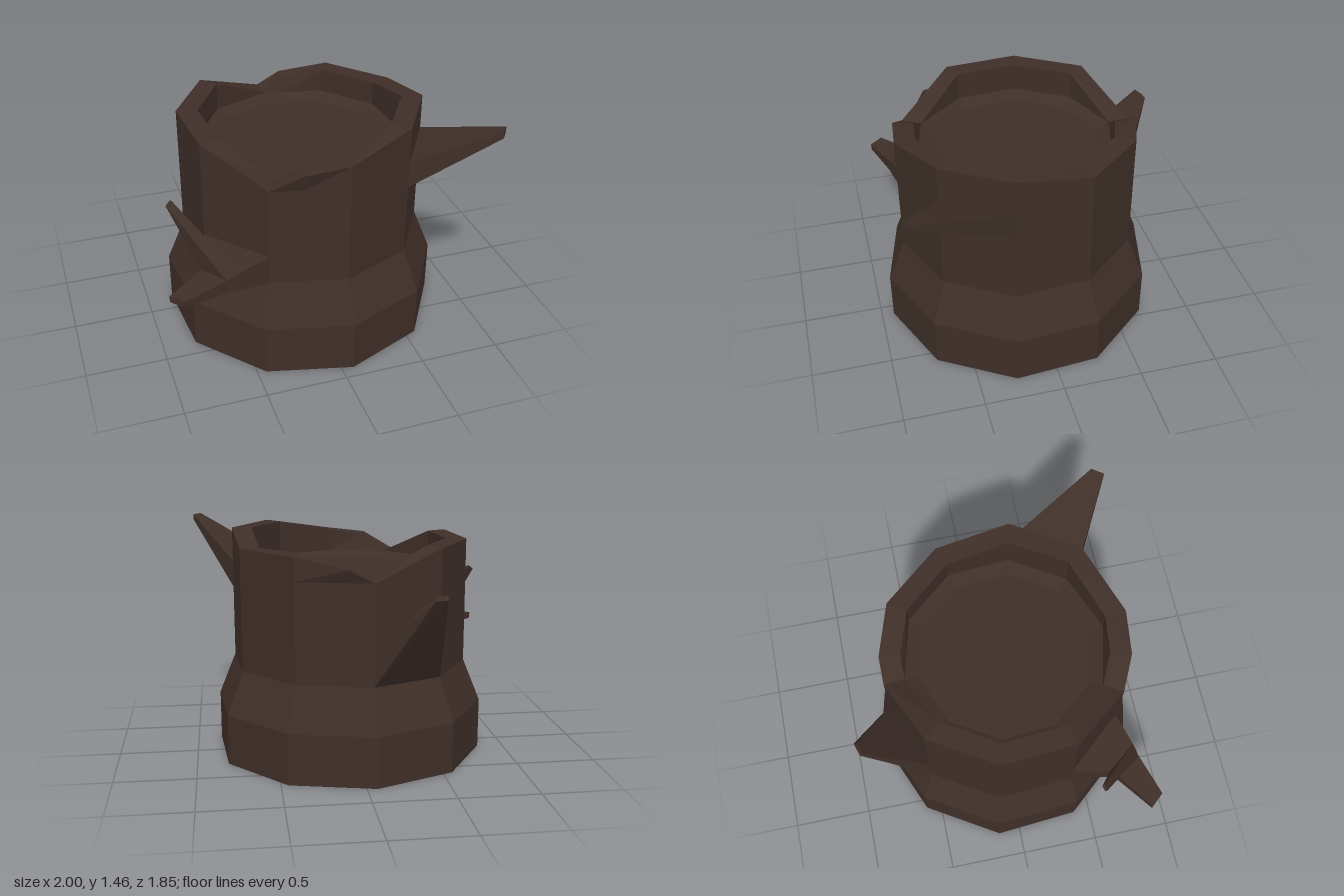
import * as THREE from 'three';

const bark = new THREE.MeshStandardMaterial({ color: 0x3f2f29, flatShading: true });

// Point on the ten-sided trunk outline; i counts corners, starting at the front
function corner(i, r, y) {
  const a = 0.08 + (i * Math.PI) / 5;
  return [0.005 + r * Math.sin(a), y, 0.06 + r * Math.cos(a)];
}

// Point on the straight side between two corners
function onSide(i, r, y) {
  const k = Math.floor(i), t = i - k;
  const a = corner(k, r, y), b = corner(k + 1, r, y);
  return a.map((v, n) => v + (b[n] - v) * t);
}

// Skin a list of rings (counter-clockwise seen from the end), with optional caps
function loft(name, rings, capStart, capEnd) {
  const pos = [];
  const tri = (a, b, c) => pos.push(...a, ...b, ...c);
  const n = rings[0].length;
  for (let s = 0; s < rings.length - 1; s++) {
    for (let i = 0; i < n; i++) {
      const j = (i + 1) % n;
      const lo = rings[s], hi = rings[s + 1];
      tri(lo[i], lo[j], hi[j]);
      tri(lo[i], hi[j], hi[i]);
    }
  }
  const first = rings[0], last = rings[rings.length - 1];
  for (let i = 1; i < n - 1; i++) {
    if (capStart) tri(first[0], first[i + 1], first[i]);
    if (capEnd) tri(last[0], last[i], last[i + 1]);
  }
  const geo = new THREE.BufferGeometry();
  geo.setAttribute('position', new THREE.Float32BufferAttribute(pos, 3));
  geo.computeVertexNormals();
  const mesh = new THREE.Mesh(geo, bark);
  mesh.name = name;
  return mesh;
}

// Four-cornered section standing on a left and a right [x, z]
function section(l, r, y0, y1) {
  return [[l[0], y0, l[1]], [r[0], y0, r[1]], [r[0], y1, r[1]], [l[0], y1, l[1]]];
}

export function createModel() {
  const group = new THREE.Group();
  group.name = 'treeStump';
  const R = 0.755;

  // Rim: [corner position, height], with two V-shaped notches
  const rim = [
    [0, 1.35], [1, 1.43], [2, 1.43], [3, 1.355], [4, 1.355], [4.68, 1.29],
    [5, 1.21], [6, 1.38], [7, 1.38], [8, 1.38], [9, 1.21], [9.43, 1.32],
  ];
  const level = (r, y) => rim.map(([i]) => onSide(i, r, y));
  const edge = (r) => rim.map(([i, y]) => corner(i, r, y));

  // Trunk: flared foot, straight wall, jagged rim and sunken top
  group.add(loft('trunk', [
    level(0.865, 0), level(0.865, 0.32), level(R, 0.59), level(R, 1.21),
    edge(R), edge(0.625), level(0.625, 1.205), level(0.54, 1.165),
  ], true, true));

  // Base of a branch growing out of one side of the trunk
  const root = (i, y0, y1) => {
    const a = corner(i, R, 0), b = corner(i + 1, R, 0);
    return section([a[0], a[2]], [b[0], b[2]], y0, y1);
  };

  // Upper spike
  group.add(loft('upperSpike', [
    root(1, 1.04, 1.21),
    section([0.95, 0.885], [1, 0.815], 1.42, 1.455),
  ], false, true));

  // Rear spike
  group.add(loft('rearSpike', [
    root(5, 0.59, 0.82),
    [[-0.36, 1.145, -0.93], [-0.44, 1.145, -0.905], [-0.44, 1.17, -0.885], [-0.37, 1.17, -0.91]],
  ], false, true));

  // Side branch
  const inner = section([-0.74, 0.58], [-0.59, 0.77], 0.625, 0.745);
  const outer = section([-0.78, 0.64], [-0.67, 0.79], 0.64, 0.725);
  group.add(loft('sideBranch', [
    root(8, 0.59, 0.77), inner, outer,
    section([-1, 0.8], [-0.93, 0.88], 0.66, 0.7),
  ], false, true));

  // Twig rising from the top of the side branch
  group.add(loft('twig', [
    [inner[3], outer[3], outer[2], inner[2]],
    [[-0.9, 1.11, 0.455], [-0.93, 1.085, 0.47], [-0.925, 1.085, 0.485], [-0.892, 1.11, 0.47]],
  ], false, true));

  return group;
}
